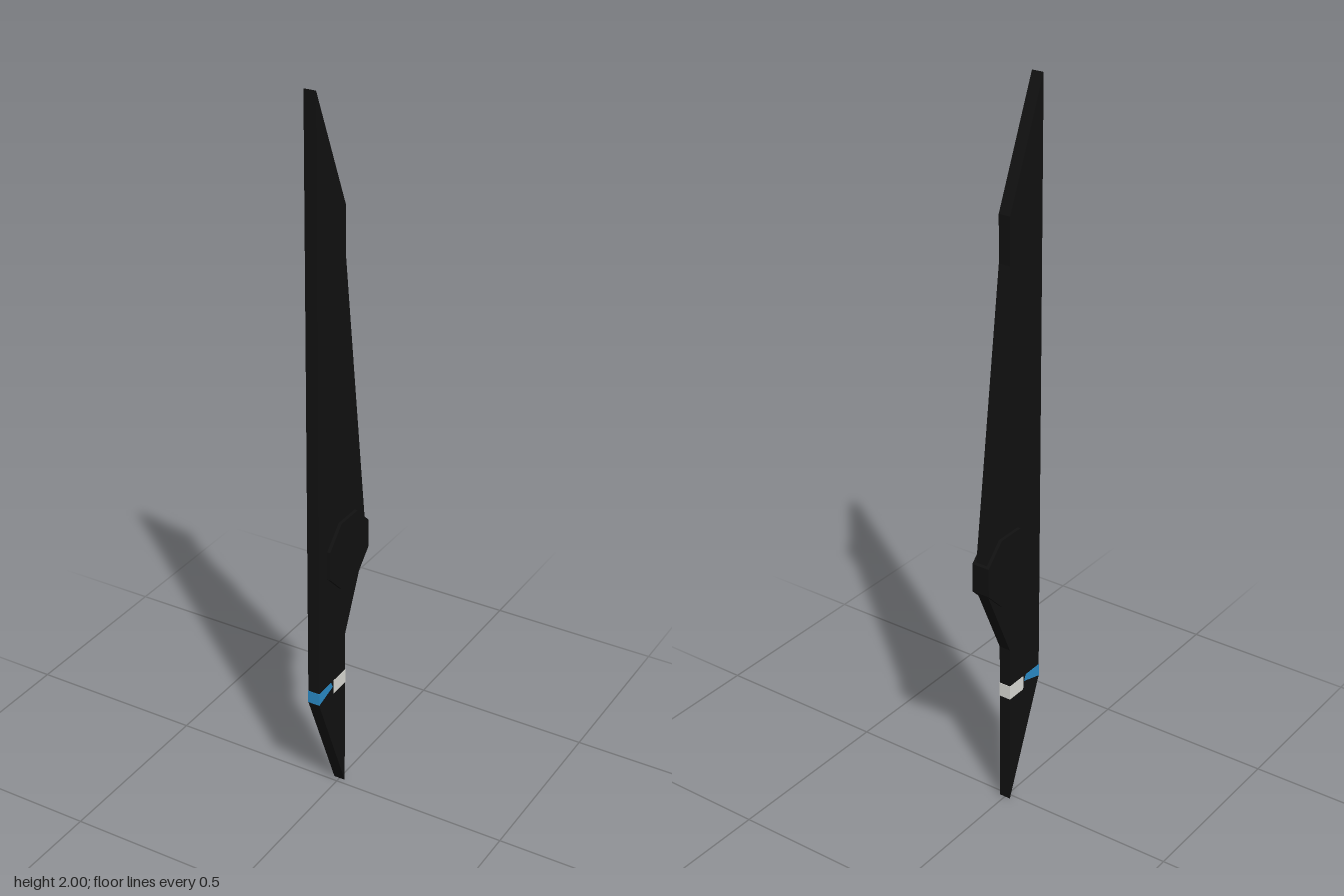
import * as THREE from 'three';

const material = (name, color) => {
  const m = new THREE.MeshStandardMaterial({ color });
  m.name = name;
  return m;
};

// Flat plate with a (z, y) side outline, centred on x = 0
function plate(name, outline, width, mat) {
  const shape = new THREE.Shape(outline.map(([z, y]) => new THREE.Vector2(z, y)));
  const geometry = new THREE.ExtrudeGeometry(shape, { depth: width, bevelEnabled: false });
  geometry.translate(0, 0, -width / 2);
  geometry.rotateY(-Math.PI / 2);
  const mesh = new THREE.Mesh(geometry, mat);
  mesh.name = name;
  return mesh;
}

export function createModel() {
  const black = material('black', 0x111111);
  const blue = material('blue', 0x2a8cc8);
  const white = material('white', 0xdcdcd6);
  const model = new THREE.Group();
  model.name = 'blade';

  // Slim body with slanted tips and a swelling towards the hub
  model.add(plate('body', [
    [0.118, 0.33], [0.118, 2], [-0.015, 1.685], [-0.015, 1.56],
    [-0.115, 0.78], [-0.115, 0.70], [-0.015, 0.48], [-0.015, 0],
  ], 0.033, black));

  // Eight-sided hub with flats facing up, down, front and back
  const r = 0.0975;
  const s = r * Math.tan(Math.PI / 8);
  const octagon = [[r, -s], [r, s], [s, r], [-s, r], [-r, s], [-r, -s], [-s, -r], [s, -r]];
  model.add(plate('hub', octagon.map(([z, y]) => [z - 0.022, y + 0.738]), 0.051, black));

  // Painted band near the lower tip, wrapping both sides and the edges
  model.add(plate('blueBand', [
    [0.119, 0.331], [0.119, 0.367], [0.058, 0.367], [0.05, 0.35],
  ], 0.035, blue));
  model.add(plate('whiteBand', [
    [0.045, 0.326], [0.045, 0.367], [-0.016, 0.367], [-0.016, 0.326],
  ], 0.035, white));

  return model;
}
